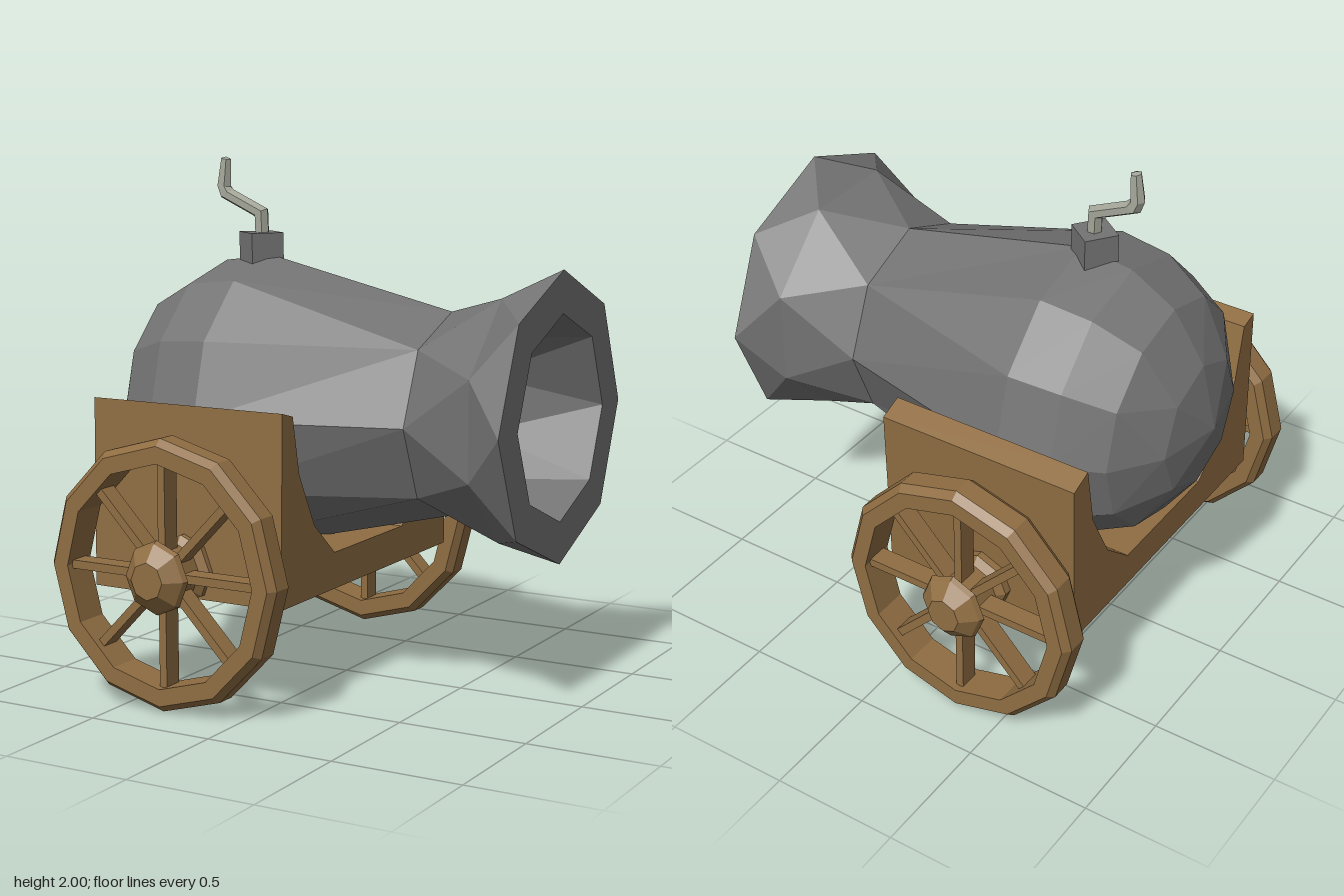
import * as THREE from 'three';

const mat = (name, color) => {
  const m = new THREE.MeshStandardMaterial({ color, flatShading: true });
  m.name = name;
  return m;
};

// Ring with n corners facing along `tilt` in the xy plane; phase turns it by a share of one side
function makeRing([x, y, r, n, phase = 0, tilt = 0]) {
  const point = (i) => {
    const a = ((i + phase) / n) * 2 * Math.PI;
    const up = r * Math.cos(a);
    return [x - up * Math.sin(tilt), y + up * Math.cos(tilt), r * Math.sin(a)];
  };
  return { n, point, turn: (i) => (i + phase) / n };
}

// Stitch rings together, even where their corner counts differ; n = 1 is a tip
function loft(sections) {
  const rings = sections.map(makeRing);
  const pos = [];
  for (let k = 0; k < rings.length - 1; k++) {
    const A = rings[k], B = rings[k + 1];
    let i = 0, j = 0;
    while (i < A.n || j < B.n) {
      if (j >= B.n || (i < A.n && A.turn(i + 1) <= B.turn(j + 1))) {
        if (A.n > 1) pos.push(...A.point(i), ...A.point(i + 1), ...B.point(j));
        i++;
      } else {
        if (B.n > 1) pos.push(...A.point(i), ...B.point(j + 1), ...B.point(j));
        j++;
      }
    }
  }
  const g = new THREE.BufferGeometry();
  g.setAttribute('position', new THREE.Float32BufferAttribute(pos, 3));
  g.computeVertexNormals();
  return g;
}

// Turned wooden part around the wheel axis
const turned = (profile, sides) => new THREE.LatheGeometry(
  profile.map(([r, z]) => new THREE.Vector2(r, z)), sides).rotateX(Math.PI / 2);

export function createModel() {
  const iron = mat('iron', 0x737373);
  const wood = mat('wood', 0x8f6d42);
  const cord = mat('fuse cord', 0xa3a598);
  const model = new THREE.Group();
  model.name = 'cannon';

  const add = (parent, name, geometry, material) => {
    const m = new THREE.Mesh(geometry, material);
    m.name = name;
    parent.add(m);
    return m;
  };

  // Barrel: rounded breech, narrow neck, flared muzzle, then the bore
  add(model, 'barrel', loft([
    [-0.91, 1.04, 0, 1], [-0.85, 1.035, 0.26, 8], [-0.72, 1.04, 0.45, 12],
    [-0.54, 1.05, 0.545, 12], [-0.33, 1.05, 0.572, 12],
    [0.45, 1.055, 0.388, 8], [0.74, 1.075, 0.485, 8, 0.5], [0.9, 1.075, 0.545, 8],
    [0.9, 1.075, 0.385, 8], [0.45, 1.06, 0.29, 8, 0.5], [0.42, 1.06, 0, 1],
  ]), iron);

  // Fuse holder, a small block set cornerwise
  const block = add(model, 'fuseHolder', new THREE.CylinderGeometry(0.093, 0.093, 0.15, 4), iron);
  block.position.set(-0.38, 1.635, 0);
  block.rotation.y = 0.15;

  // Bent fuse
  add(model, 'fuse', loft([
    [-0.375, 1.65, 0.03, 6, 0, 1.6], [-0.38, 1.785, 0.032, 6, 0, 2.1],
    [-0.535, 1.855, 0.032, 6, 0, 2.1], [-0.55, 1.885, 0.03, 6, 0, 1.5],
    [-0.54, 1.99, 0.022, 6, 0, 1.4], [-0.54, 1.998, 0, 1],
  ]), cord);

  // Carriage: solid cradle hollowed to seat the barrel, outline as z, y
  const outline = [
    [-0.645, 0.4], [0.66, 0.4], [0.65, 1.12], [0.575, 1.1],
    [0.53, 0.88], [0.42, 0.67], [0.27, 0.54],
    [-0.27, 0.54], [-0.42, 0.67], [-0.53, 0.88], [-0.575, 1.125], [-0.665, 1.09],
  ];
  const cradle = new THREE.ExtrudeGeometry(
    new THREE.Shape(outline.map(([z, y]) => new THREE.Vector2(z, y))),
    { depth: 0.82, bevelEnabled: false }).rotateY(-Math.PI / 2);
  add(model, 'carriage', cradle, wood).position.x = 0.1;

  // Wheels
  const rimGeo = turned([
    [0.42, -0.07], [0.485, -0.07], [0.51, -0.04], [0.51, 0.04],
    [0.485, 0.07], [0.42, 0.07], [0.42, -0.07],
  ], 12);
  const hubGeo = turned([
    [0, -0.12], [0.13, -0.12], [0.13, -0.085], [0.1, -0.06], [0.1, 0.06],
    [0.14, 0.07], [0.13, 0.09], [0.07, 0.14], [0, 0.14],
  ], 8);
  const spokeGeo = new THREE.BoxGeometry(0.032, 0.36, 0.08).translate(0, 0.26, 0);

  for (const side of [1, -1]) {
    const wheel = new THREE.Group();
    wheel.name = side > 0 ? 'frontWheel' : 'backWheel';
    add(wheel, 'rim', rimGeo, wood);
    add(wheel, 'hub', hubGeo, wood);
    for (let i = 0; i < 8; i++) {
      add(wheel, 'spoke', spokeGeo, wood).rotation.z = (i * Math.PI) / 4;
    }
    wheel.position.set(-0.32, 0.51, side * 0.765);
    wheel.scale.x = 0.96;
    if (side < 0) wheel.rotation.y = Math.PI;
    model.add(wheel);
  }

  return model;
}
